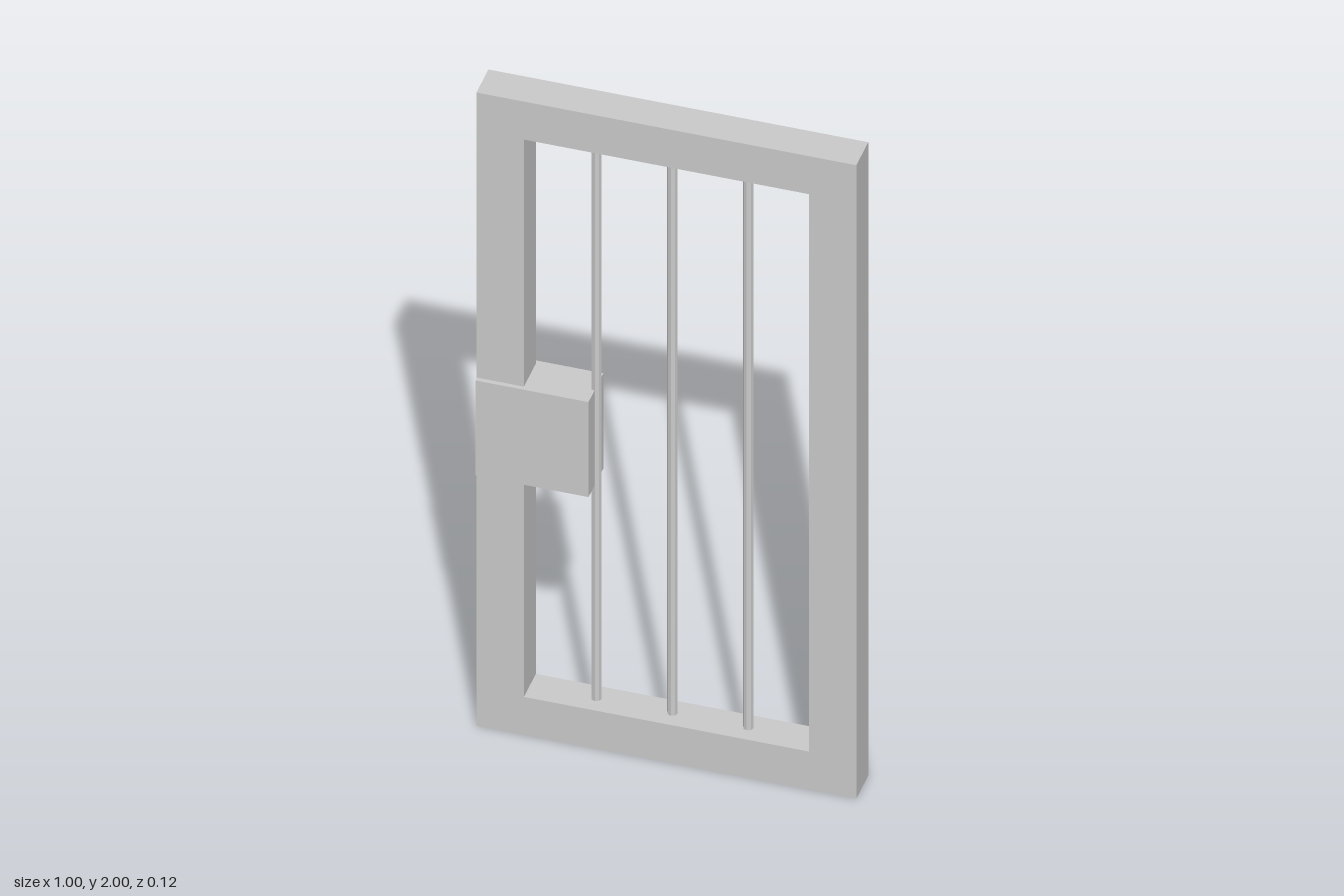
import * as THREE from 'three';

const material = new THREE.MeshStandardMaterial({ color: 0xcccccc, flatShading: true });

function addPart(parent, name, geometry, x = 0, y = 0, z = 0) {
  const mesh = new THREE.Mesh(geometry, material);
  mesh.name = name;
  mesh.position.set(x, y, z);
  parent.add(mesh);
  return mesh;
}

// Closed rectangle as corner points
function rectangle(x0, y0, x1, y1) {
  return [[x0, y0], [x1, y0], [x1, y1], [x0, y1]].map(([x, y]) => new THREE.Vector2(x, y));
}

export function createModel() {
  const door = new THREE.Group();
  door.name = 'barredDoor';

  // Frame: one slab with a rectangular opening
  const depth = 0.1, bottom = 0.12, top = 1.88;
  const outline = new THREE.Shape(rectangle(-0.5, 0, 0.5, 2));
  outline.holes.push(new THREE.Path(rectangle(-0.375, bottom, 0.375, top).reverse()));
  const frame = new THREE.ExtrudeGeometry(outline, { depth, bevelEnabled: false });
  addPart(door, 'frame', frame, 0, 0, -depth / 2);

  // Three upright bars, seated slightly into the rails
  const bars = new THREE.Group();
  bars.name = 'bars';
  const bar = new THREE.CylinderGeometry(0.0135, 0.0135, top - bottom + 0.02, 8);
  for (const x of [-0.2, 0, 0.2]) addPart(bars, 'bar', bar, x, (top + bottom) / 2);
  door.add(bars);

  // Lock housing, standing proud of both faces of the frame
  addPart(door, 'lockBox', new THREE.BoxGeometry(0.297, 0.3, 0.125), -0.3495, 0.95);

  return door;
}
